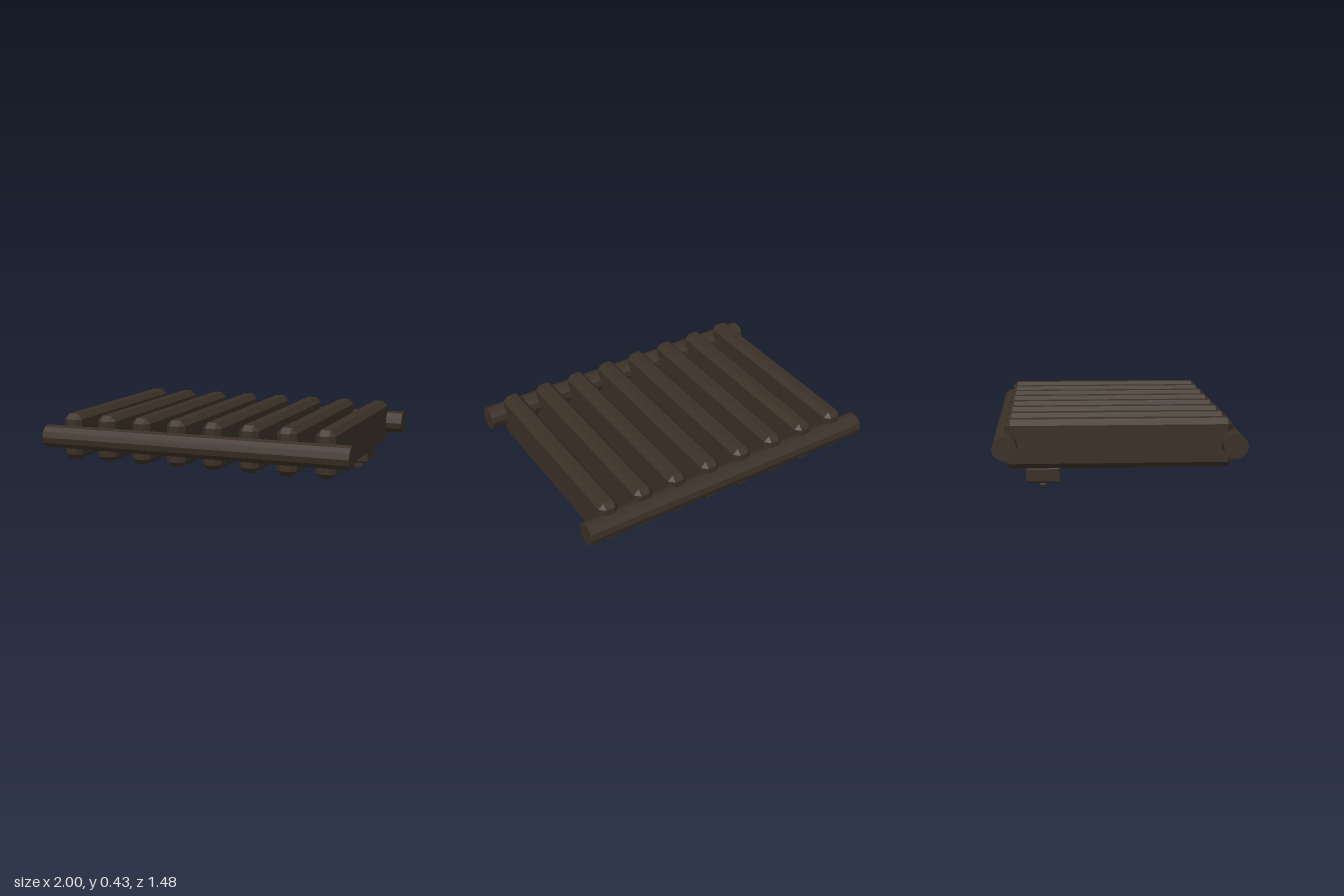
import * as THREE from 'three';
import { ConvexGeometry } from 'three/addons/geometries/ConvexGeometry.js';

// Box with every edge cut at 45 degrees and triangular corners
function chamferBox(w, h, d, c) {
  const pts = [];
  for (const sx of [-1, 1]) for (const sy of [-1, 1]) for (const sz of [-1, 1]) {
    const x = w / 2, y = h / 2, z = d / 2;
    pts.push(
      new THREE.Vector3(sx * x, sy * (y - c), sz * (z - c)),
      new THREE.Vector3(sx * (x - c), sy * y, sz * (z - c)),
      new THREE.Vector3(sx * (x - c), sy * (y - c), sz * z)
    );
  }
  return new ConvexGeometry(pts);
}

export function createModel() {
  const group = new THREE.Group();
  group.name = 'slattedGrate';
  const darkBrown = new THREE.MeshStandardMaterial({ color: 0x3a3026, flatShading: true });
  darkBrown.name = 'darkBrown';

  const add = (name, geometry, x, y, z) => {
    const mesh = new THREE.Mesh(geometry, darkBrown);
    mesh.name = name;
    mesh.position.set(x, y, z);
    group.add(mesh);
  };

  // Slats running front to back
  const slat = chamferBox(0.124, 0.29, 1.334, 0.033);
  const count = 8;
  for (let i = 0; i < count; i++) {
    add('slat' + (i + 1), slat, (i - (count - 1) / 2) * 0.2375, 0.289, 0);
  }

  // Round rails across the front and back
  const rail = new THREE.CylinderGeometry(0.073, 0.073, 2, 12).rotateZ(Math.PI / 2);
  add('frontRail', rail, 0, 0.288, 0.665);
  add('backRail', rail, 0, 0.288, -0.665);

  // Small blocks with a disc foot below the outer slats
  const block = chamferBox(0.165, 0.095, 0.204, 0.011);
  const foot = new THREE.CylinderGeometry(0.03, 0.03, 0.032, 12).rotateX(Math.PI / 2);
  for (const [side, s] of [['left', 1], ['right', -1]]) {
    add(side + 'Block', block, s * 0.752, 0.096, -0.445);
    add(side + 'Foot', foot, s * 0.752, 0.03, -0.445);
  }

  return group;
}
